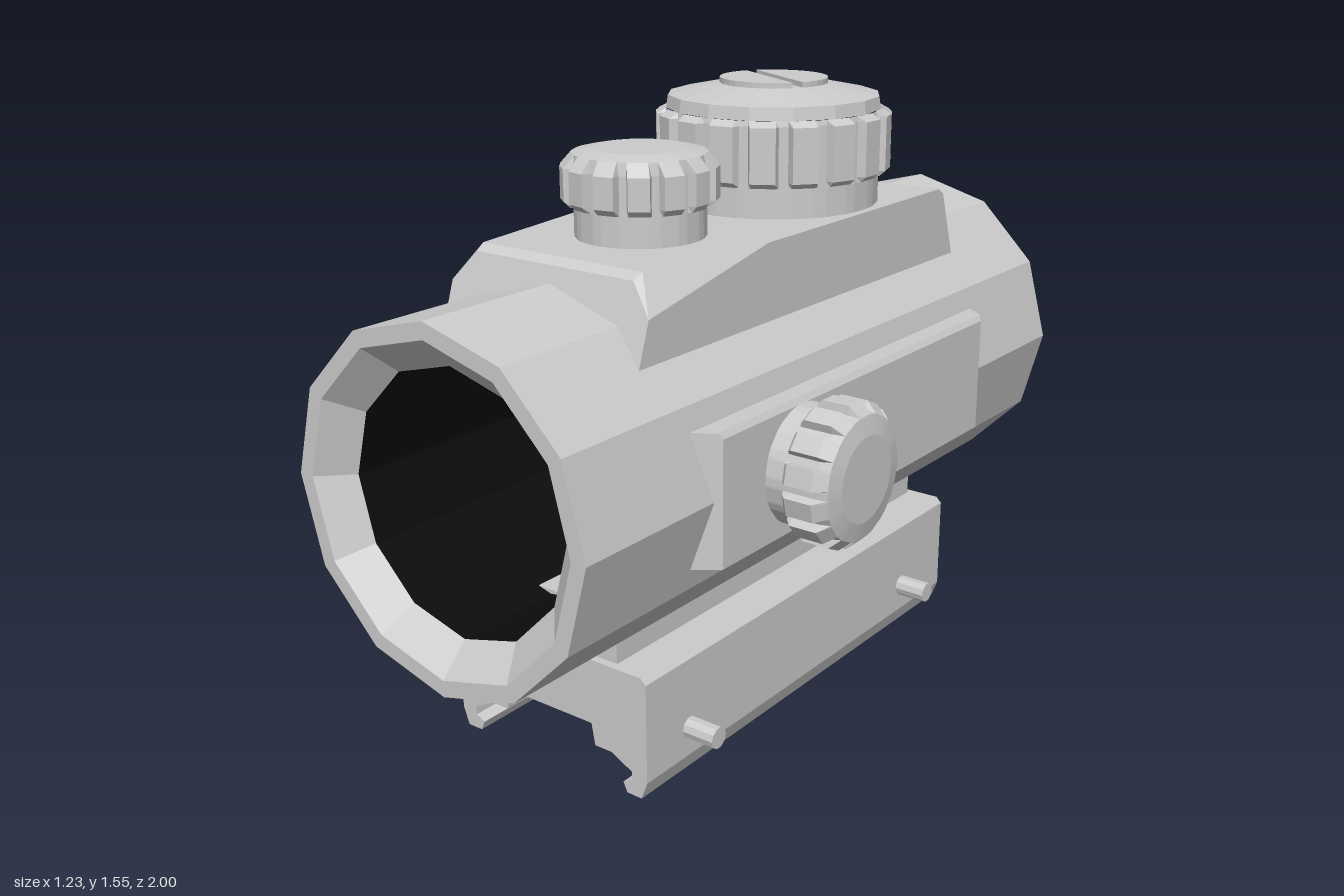
import * as THREE from 'three';
import { ConvexGeometry } from 'three/addons/geometries/ConvexGeometry.js';

const grey = new THREE.MeshStandardMaterial({ color: 0xcccccc, flatShading: true });
const greyThin = new THREE.MeshStandardMaterial({ color: 0xcccccc, flatShading: true, side: THREE.DoubleSide });
const dark = new THREE.MeshStandardMaterial({ color: 0x0c0c0c, flatShading: true });

const AXIS_Y = 0.757; // height of the tube's centre line

function part(parent, name, geometry, material = grey) {
  const mesh = new THREE.Mesh(geometry, material);
  mesh.name = name;
  parent.add(mesh);
  return mesh;
}

const lathe = (points, sides) =>
  new THREE.LatheGeometry(points.map(([r, y]) => new THREE.Vector2(r, y)), sides);

const hull = (points) => new ConvexGeometry(points.map((p) => new THREE.Vector3(...p)));

// Turned knob whose rings [y, radius] are cut by evenly spaced grip notches
function notchedKnob(rings, teeth, outerR, notchR) {
  const outline = [];
  for (let t = 0; t < teeth; t++) {
    for (const [f, r] of [[0.12, notchR], [0.2, outerR], [0.8, outerR], [0.88, notchR]]) {
      outline.push([((t + f) / teeth) * Math.PI * 2, r]);
    }
  }
  const n = outline.length;
  const positions = [];
  const index = [];
  rings.forEach(([y, ringR], j) => {
    outline.forEach(([a, toothR], i) => {
      const r = Math.min(ringR, toothR);
      positions.push(r * Math.sin(a), y, r * Math.cos(a));
      if (j === 0) return;
      const next = (i + 1) % n;
      const low = (j - 1) * n;
      const high = j * n;
      index.push(low + i, low + next, high + i, low + next, high + next, high + i);
    });
  });
  const geometry = new THREE.BufferGeometry();
  geometry.setAttribute('position', new THREE.Float32BufferAttribute(positions, 3));
  geometry.setIndex(index);
  const flat = geometry.toNonIndexed();
  flat.computeVertexNormals();
  return flat;
}

export function createModel() {
  const model = new THREE.Group();
  model.name = 'opticalSight';

  // Twelve-sided tube with chamfered openings
  const tube = new THREE.Group();
  tube.name = 'tube';
  tube.position.y = AXIS_Y;
  model.add(tube);
  const shell = [[0.313, -0.93], [0.385, -1], [0.425, -1], [0.425, 1], [0.385, 1], [0.313, 0.93]];
  part(tube, 'tubeShell', lathe(shell, 12)).rotation.x = Math.PI / 2;
  part(tube, 'tubeBore', lathe([[0.313, 0.93], [0.313, -0.93]], 12), dark).rotation.x = Math.PI / 2;
  part(tube, 'rearLens', new THREE.CircleGeometry(0.313, 12), greyThin).position.z = -0.93;

  // Turret housing, its front upper corners cut away
  const housing = [];
  for (const s of [-1, 1]) {
    housing.push(
      [s * 0.29, 1.0, 0.685], [s * 0.29, 1.0, -0.685],
      [s * 0.29, 1.22, -0.61], [s * 0.29, 1.235, -0.585],
      [s * 0.29, 1.235, 0.2], [s * 0.235, 1.235, 0.585],
      [s * 0.23, 1.22, 0.61], [s * 0.29, 1.15, 0.634],
    );
  }
  part(model, 'turretHousing', hull(housing));

  // Side plates with sloping ends
  for (const s of [-1, 1]) {
    const plate = [];
    for (const e of [-1, 1]) {
      plate.push(
        [s * 0.44, 0.6, e * 0.575], [s * 0.44, 0.9, e * 0.575], [s * 0.43, 0.915, e * 0.583],
        [s * 0.38, 0.915, e * 0.62], [s * 0.38, 0.6, e * 0.62],
        [s * 0.32, 0.6, e * 0.62], [s * 0.32, 0.915, e * 0.62],
      );
    }
    part(model, s > 0 ? 'leftSidePlate' : 'rightSidePlate', hull(plate));
  }

  // Small knobs: one on top, one on each side
  const smallKnob = notchedKnob([
    [-0.02, 0.155], [0.075, 0.155], [0.075, 0.17], [0.09, 0.185], [0.165, 0.185],
    [0.195, 0.158], [0.205, 0.11], [0.205, 0],
  ], 14, 0.185, 0.163);
  part(model, 'topSmallKnob', smallKnob).position.set(0, 1.235, 0.305);
  for (const s of [-1, 1]) {
    const knob = part(model, s > 0 ? 'leftKnob' : 'rightKnob', smallKnob);
    knob.scale.setScalar(0.93);
    knob.position.set(s * 0.424, AXIS_Y, 0.275);
    knob.rotation.z = -s * Math.PI / 2;
  }

  // Large adjustment turret with a slotted screw on its cap
  const turret = new THREE.Group();
  turret.name = 'largeTurret';
  turret.position.set(0, 1.235, -0.23);
  model.add(turret);
  part(turret, 'turretKnob', notchedKnob([
    [-0.02, 0.27], [0.077, 0.27], [0.077, 0.285], [0.09, 0.3], [0.225, 0.3], [0.238, 0.275],
  ], 18, 0.3, 0.278));
  part(turret, 'turretCap', lathe([[0.275, 0.238], [0.27, 0.27], [0.135, 0.298], [0, 0.298]], 16));
  const screwR = 0.137;
  const slotAngle = Math.asin(0.014 / screwR);
  const halfDisc = new THREE.Shape();
  halfDisc.absarc(0, 0, screwR, slotAngle, Math.PI - slotAngle, false);
  halfDisc.closePath();
  const halfScrew = new THREE.ExtrudeGeometry(halfDisc, { depth: 0.015, bevelEnabled: false, curveSegments: 8 });
  halfScrew.rotateX(-Math.PI / 2);
  for (const turn of [0, Math.PI]) {
    const half = part(turret, 'slottedScrewHalf', halfScrew);
    half.position.y = 0.296;
    half.rotation.y = turn - Math.PI / 6;
  }

  // Neck and rail clamp
  part(model, 'mountNeck', new THREE.BoxGeometry(0.39, 0.14, 1.3)).position.y = 0.385;
  const side = [
    [0.28, 0.325], [0.295, 0.31], [0.295, 0.06], [0.278, 0.015], [0.235, 0.015], [0.224, 0.04],
    [0.25, 0.052], [0.25, 0.075], [0.19, 0.105], [0.14, 0.105], [0.13, 0.16],
  ];
  const mirrored = side.map(([x, y]) => [-x, y]).reverse();
  const profile = new THREE.Shape([...side, ...mirrored].map(([x, y]) => new THREE.Vector2(x, y)));
  const clamp = new THREE.ExtrudeGeometry(profile, { depth: 1.34, bevelEnabled: false });
  part(model, 'railClamp', clamp.translate(0, 0, -0.67));

  // Cross bolts with eight-sided nuts
  const nut = lathe([
    [0, 0], [0.144, 0], [0.144, 0.025], [0.09, 0.05], [0.04, 0.05], [0.03, 0.03], [0, 0.03],
  ], 8).rotateY(Math.PI / 8);
  for (const z of [0.51, -0.455]) {
    const bolt = new THREE.Group();
    bolt.name = 'crossBolt';
    bolt.position.set(0, 0.133, z);
    bolt.rotation.z = Math.PI / 2; // local +y points to -x
    model.add(bolt);
    part(bolt, 'boltRod', new THREE.CylinderGeometry(0.027, 0.027, 0.71, 10)).position.y = -0.025;
    part(bolt, 'clampNut', nut).position.y = 0.325;
    part(bolt, 'nutSlotBar', new THREE.BoxGeometry(0.016, 0.015, 0.06)).position.y = 0.36;
  }

  return model;
}
